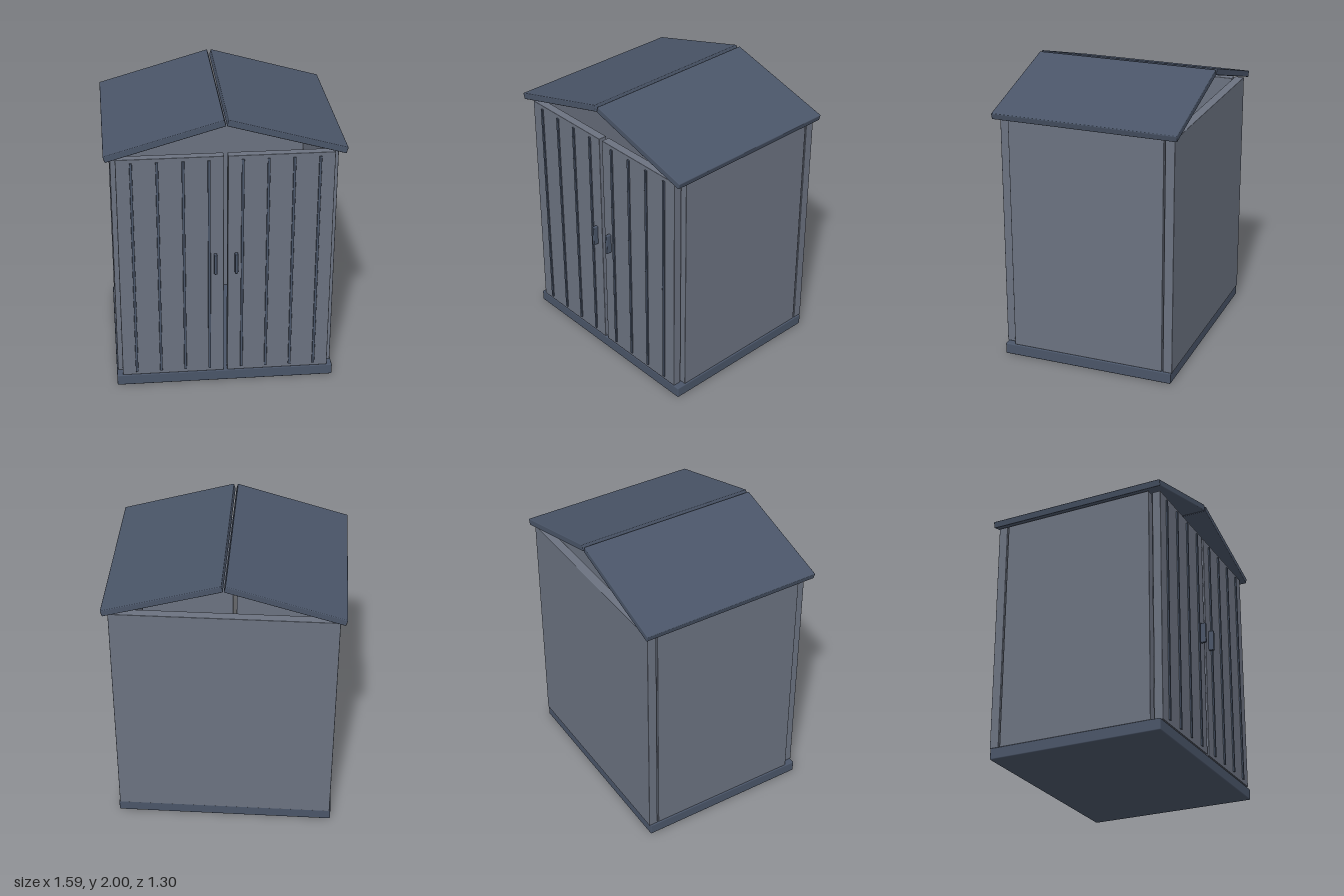
import * as THREE from 'three';
import { RoundedBoxGeometry } from 'three/addons/geometries/RoundedBoxGeometry.js';

export function createModel() {
  const shed = new THREE.Group();
  shed.name = 'gardenShed';
  const panel = new THREE.MeshStandardMaterial({ color: 0x6b7280 });
  const trim = new THREE.MeshStandardMaterial({ color: 0x4a5568 });

  // Box given by its min and max corners, with softly rounded edges
  const box = (name, mat, [x0, y0, z0], [x1, y1, z1], r = 0.004) => {
    const mesh = new THREE.Mesh(new RoundedBoxGeometry(x1 - x0, y1 - y0, z1 - z0, 2, r), mat);
    mesh.position.set((x0 + x1) / 2, (y0 + y1) / 2, (z0 + z1) / 2);
    mesh.name = name;
    shed.add(mesh);
    return mesh;
  };

  const floorTop = 0.08, wallTop = 1.735;

  box('base', trim, [-0.757, 0, -0.615], [0.757, floorTop, 0.611], 0.008);
  box('backWall', panel, [-0.75, floorTop, -0.622], [0.75, wallTop, -0.557]);

  for (const s of [-1, 1]) {
    const side = s > 0 ? 'left' : 'right';
    // Box mirrored across x by the sign s
    const mirrored = (name, mat, a, b, y0, y1, z0, z1, r) =>
      box(side + name, mat, [Math.min(s * a, s * b), y0, z0], [Math.max(s * a, s * b), y1, z1], r);

    mirrored('Wall', panel, 0.69, 0.75, floorTop, wallTop, -0.548, 0.541);
    mirrored('Door', panel, 0.013, 0.717, floorTop + 0.004, wallTop, 0.552, 0.612);

    // Vertical ribs on the door
    for (let i = 0; i < 4; i++) {
      const x = 0.111 + i * 0.169;
      mirrored('DoorRib' + (i + 1), trim, x - 0.009, x + 0.009, 0.11, 1.71, 0.6, 0.622, 0.003);
    }
    mirrored('DoorHandle', trim, 0.059, 0.081, 0.875, 1.022, 0.608, 0.65, 0.006);

    // Sloping roof half, leaving a narrow notch at the ridge
    const roof = new THREE.Mesh(new RoundedBoxGeometry(0.812, 0.045, 1.287, 2, 0.006), trim);
    roof.position.set(s * 0.398, 1.865, -0.003);
    roof.rotation.z = -s * THREE.MathUtils.degToRad(16);
    roof.name = side + 'Roof';
    shed.add(roof);
  }
  return shed;
}
